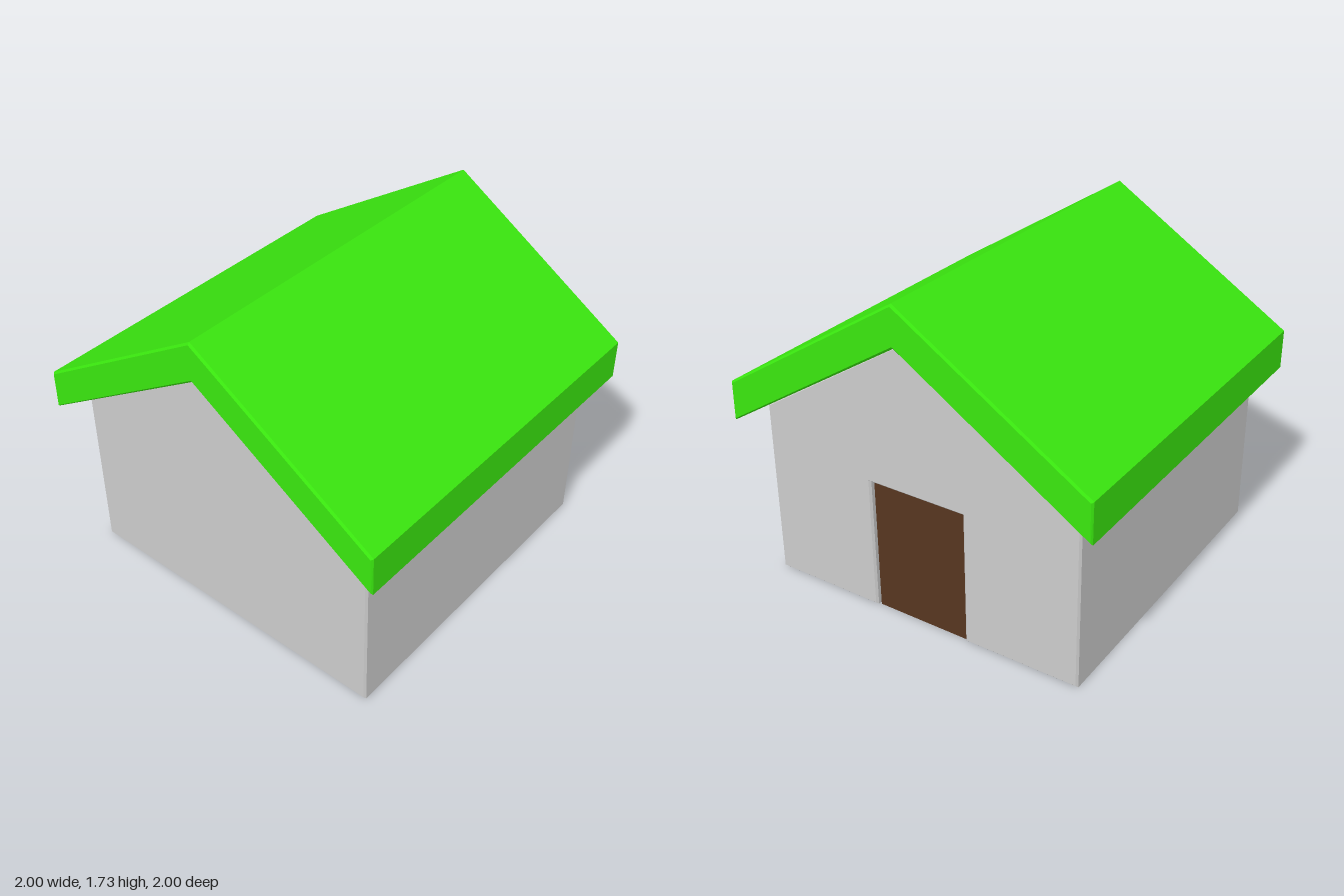
import * as THREE from 'three';

const BEVEL = 0.01;

// Extrudes a [z, y] outline along x from x0 to x1, with slim chamfers at both ends
function slab(name, points, x0, x1, material) {
  const shape = new THREE.Shape(points.map(([z, y]) => new THREE.Vector2(-z, y)));
  const geometry = new THREE.ExtrudeGeometry(shape, {
    depth: x1 - x0 - 2 * BEVEL,
    bevelEnabled: true,
    bevelSize: BEVEL,
    bevelThickness: BEVEL,
    bevelOffset: -BEVEL,
    bevelSegments: 1,
  });
  geometry.rotateY(Math.PI / 2);
  geometry.translate(x0 + BEVEL, 0, 0);
  const mesh = new THREE.Mesh(geometry, material);
  mesh.name = name;
  return mesh;
}

export function createModel() {
  const house = new THREE.Group();
  house.name = 'house';
  const wallMat = new THREE.MeshStandardMaterial({ color: 0xcccccc });
  const roofMat = new THREE.MeshStandardMaterial({ color: 0x3ae70f });
  const doorMat = new THREE.MeshStandardMaterial({ color: 0x56361f });

  // Gabled body, with a thin end wall notched for the doorway
  const gable = [[0.885, 0.95], [0, 1.515], [-0.885, 0.95], [-0.885, 0]];
  house.add(slab('body', [[0.885, 0], ...gable], -0.885, 0.84, wallMat));
  house.add(slab('doorWall', [
    [0.885, 0], ...gable,
    [-0.265, 0], [-0.265, 0.71], [0.265, 0.71], [0.265, 0],
  ], 0.82, 0.885, wallMat));

  // Thick pitched roof with vertical eaves
  house.add(slab('roof', [
    [1, 0.88], [1, 1.09], [0, 1.725], [-1, 1.09], [-1, 0.88], [0, 1.515],
  ], -1, 1, roofMat));

  // Door set slightly back in the doorway
  const door = new THREE.Mesh(new THREE.BoxGeometry(0.03, 0.705, 0.515), doorMat);
  door.name = 'door';
  door.position.set(0.853, 0.3525, -0.004);
  house.add(door);

  return house;
}
